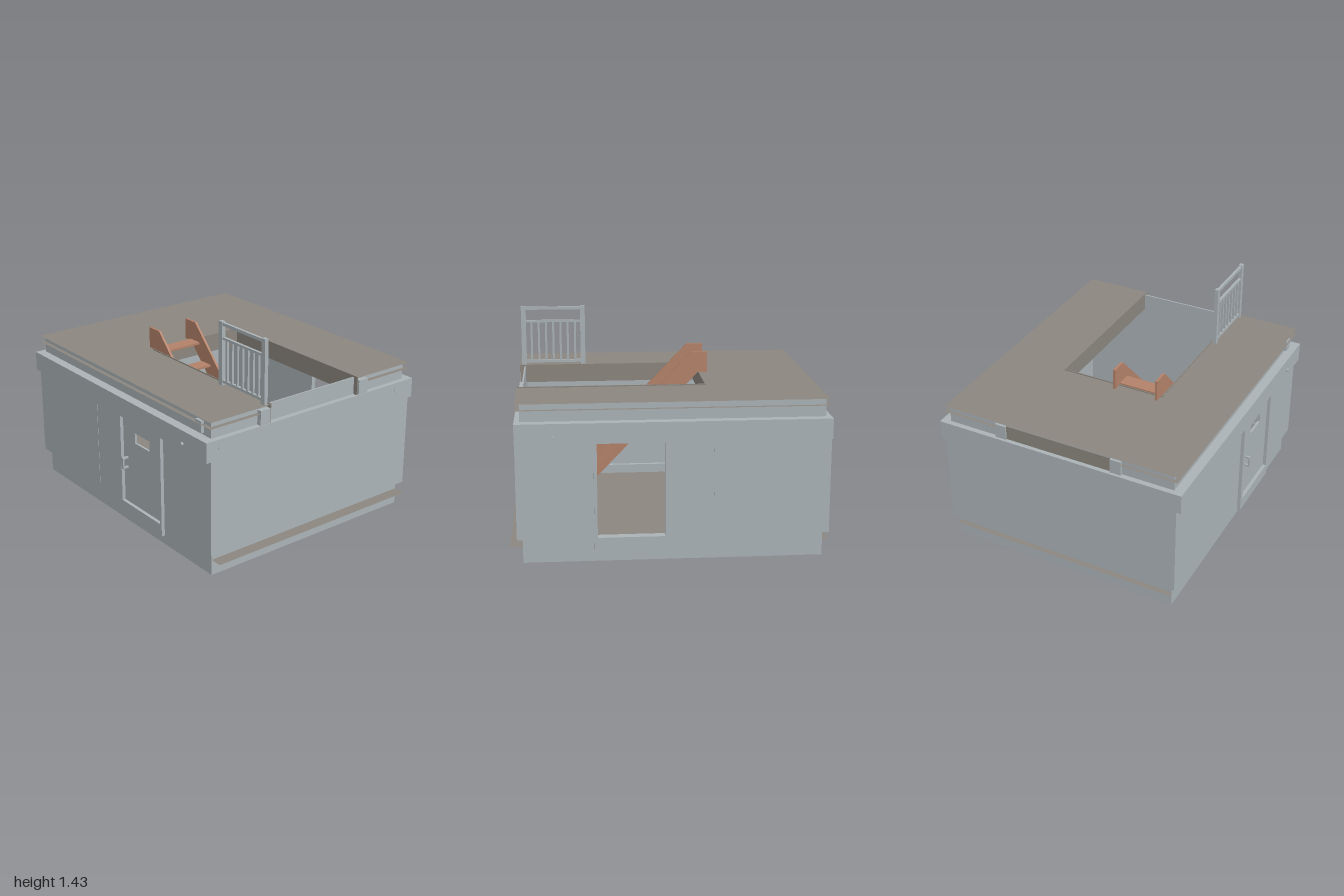
import * as THREE from 'three';

const mat = (name, color) => {
  const m = new THREE.MeshStandardMaterial({ color });
  m.name = name;
  return m;
};

export function createModel() {
  const model = new THREE.Group();
  model.name = 'cabin';
  const grey = mat('wallGrey', 0xabb3b7);
  const brown = mat('deckBrown', 0x8b867e);
  brown.side = THREE.DoubleSide;
  const wood = mat('ladderWood', 0xb38269);

  const add = (name, geo, material, parent = model) => {
    const mesh = new THREE.Mesh(geo, material);
    mesh.name = name;
    parent.add(mesh);
    return mesh;
  };
  // Box given by its limits on each axis
  const box = (name, material, [x0, x1], [y0, y1], [z0, z1], parent) => {
    const g = new THREE.BoxGeometry(x1 - x0, y1 - y0, z1 - z0);
    g.translate((x0 + x1) / 2, (y0 + y1) / 2, (z0 + z1) / 2);
    return add(name, g, material, parent);
  };
  const poly = (pts) => new THREE.Shape(pts.map((p) => new THREE.Vector2(...p)));
  const rect = (a, b, c, d) => poly([[a, c], [b, c], [b, d], [a, d]]);
  // Outline in (z, y), thickened from x0 to x1
  const sidePlate = (name, material, shape, x0, x1, parent) => {
    const g = new THREE.ExtrudeGeometry(shape, { depth: x1 - x0, bevelEnabled: false });
    g.rotateY(-Math.PI / 2).translate(x1, 0, 0);
    return add(name, g, material, parent);
  };
  // Flat sheet at height y, outline in (x, z)
  const sheet = (name, material, pts, y) => {
    const g = new THREE.ShapeGeometry(poly(pts.map(([x, z]) => [x, -z])));
    g.rotateX(-Math.PI / 2).translate(0, y, 0);
    return add(name, g, material);
  };

  // Open base with a floor sheet that sticks out at both ends
  sheet('floor', brown, [[-0.785, -1], [0.785, -1], [0.785, 1], [-0.785, 1]], 0.105);
  box('baseFront', grey, [-0.785, 0.785], [0, 0.165], [0.91, 0.92]);
  box('baseBack', grey, [-0.785, 0.785], [0, 0.165], [-0.965, -0.955]);

  // End walls
  box('frontWall', grey, [-0.815, 0.815], [0.16, 0.905], [0.918, 0.955]);
  box('backWall', grey, [-0.815, 0.815], [0.16, 0.905], [-1.0, -0.963]);

  // Side walls with doorways, bands and frames
  for (const s of [-1, 1]) {
    const side = new THREE.Group();
    side.name = s > 0 ? 'leftSide' : 'rightSide';
    model.add(side);
    const span = (a, b) => (s > 0 ? [a, b] : [-b, -a]);
    box('baseSide', grey, span(0.775, 0.785), [0, 0.165], [-0.955, 0.91], side);
    box('wallFoot', grey, span(0.775, 0.814), [0.16, 0.168], [-0.963, 0.918], side);

    const wall = rect(-0.963, 0.918, 0.16, 0.905);
    wall.holes.push(rect(0.035, 0.455, 0.17, 0.775));
    sidePlate('sideWall', grey, wall, ...span(0.805, 0.815), side);
    box('wallPanel', grey, span(0.815, 0.817), [0.16, 0.775], [-1.0, -0.27], side);
    box('sideBand', grey, span(0.783, 0.847), [0.775, 0.905], [-1.0, 0.955], side);

    const frame = rect(0, 0.475, 0.09, 0.776);
    frame.holes.push(rect(0.035, 0.455, 0.17, 0.775));
    sidePlate('doorFrame', grey, frame, ...span(0.815, 0.838), side);

    // Small knob on the band and round cover on its front end
    const knob = new THREE.CylinderGeometry(0.012, 0.012, 0.02, 12);
    knob.rotateZ(Math.PI / 2).translate(s * 0.85, 0.82, 0.72);
    add('bandKnob', knob, grey, side);
    const cover = new THREE.CylinderGeometry(0.038, 0.038, 0.005, 24);
    cover.rotateX(Math.PI / 2).translate(s * 0.725, 0.86, 0.954);
    add('roundCover', cover, grey, side);

    // Upper fascia and corner tabs
    box('fasciaSide', grey, span(0.775, 0.785), [0.9, 1.018], [-0.955, 0.91], side);
    box('frontTab', grey, span(0.365, 0.44), [0.905, 1.0], [0.92, 0.952], side);
    box('backTab', grey, span(0.365, 0.44), [0.905, 1.0], [-0.982, -0.965], side);
  }
  box('sideTab', grey, [-0.805, -0.785], [0.92, 0.995], [0.79, 0.85]);
  box('fasciaFront', grey, [-0.785, 0.785], [0.9, 1.018], [0.91, 0.92]);
  box('fasciaBack', grey, [-0.785, 0.785], [0.9, 1.018], [-0.965, -0.955]);
  box('backPanel', brown, [-0.365, 0.365], [0.905, 1.0], [-0.972, -0.964]);

  // Closed door with window and handle
  const door = new THREE.Group();
  door.name = 'door';
  model.add(door);
  const leaf = rect(0.035, 0.455, 0.17, 0.775);
  leaf.holes.push(rect(0.165, 0.328, 0.615, 0.685));
  sidePlate('doorLeaf', grey, leaf, -0.815, -0.8, door);
  for (const x of [-0.853, -0.762]) {
    box('handleGrip', grey, [x - 0.005, x + 0.005], [0.415, 0.493], [0.068, 0.086], door);
  }
  for (const y of [0.421, 0.487]) {
    box('handleStem', grey, [-0.853, -0.762], [y - 0.006, y + 0.006], [0.07, 0.084], door);
  }

  // Roof deck and lower sheet, both cut out around the hatch
  const cutSheet = (name, y, notch = []) => sheet(name, brown, [
    [-0.813, -0.985], ...notch, [0.813, -0.985], [0.813, 0.95],
    [0.35, 0.95], [0.35, -0.26], [-0.36, -0.26], [-0.36, 0.95], [-0.813, 0.95],
  ], y);
  cutSheet('deck', 1.021);
  cutSheet('lowerSheet', 0.979, [[-0.4, -0.985], [-0.4, -0.96], [0.4, -0.96], [0.4, -0.985]]);

  // Hatch lining, slightly proud of the deck
  box('hatchLining', brown, [-0.364, -0.358], [0.905, 1.028], [-0.266, 0.95]);
  box('hatchLining', brown, [0.349, 0.355], [0.905, 1.028], [-0.266, 0.95]);
  box('hatchLining', brown, [-0.364, 0.355], [0.905, 1.028], [-0.266, -0.26]);

  // Ladder hooked over the back edge of the hatch
  const ladder = new THREE.Group();
  ladder.name = 'ladder';
  model.add(ladder);
  const stringer = poly([
    [0.62, 0.107], [0.71, 0.107], [0.71, 0.205], [-0.21, 1.165],
    [-0.32, 1.165], [-0.32, 1.024], [-0.258, 1.024],
  ]);
  for (const x of [-0.345, -0.047]) {
    sidePlate('stringer', wood, stringer, x - 0.008, x + 0.008, ladder);
  }
  for (let i = 0; i < 8; i++) {
    const z = -0.21 + i * 0.1214;
    const y = 0.345 + 1.04 * (0.455 - z);
    box('tread', wood, [-0.338, -0.054], [y - 0.014, y], [z - 0.05, z + 0.05], ladder);
  }

  // Guard rail beside the hatch
  const rail = new THREE.Group();
  rail.name = 'guardRail';
  model.add(rail);
  for (const z of [0.495, 0.902]) {
    box('post', grey, [-0.4, -0.374], [1.021, 1.435], [z, z + 0.033], rail);
  }
  for (const [y0, y1] of [[1.04, 1.058], [1.322, 1.337], [1.41, 1.43]]) {
    box('crossRail', grey, [-0.397, -0.379], [y0, y1], [0.52, 0.91], rail);
  }
  for (let i = 0; i < 7; i++) {
    const z = 0.565 + i * 0.05;
    box('baluster', grey, [-0.395, -0.381], [1.05, 1.33], [z - 0.007, z + 0.007], rail);
  }
  return model;
}
